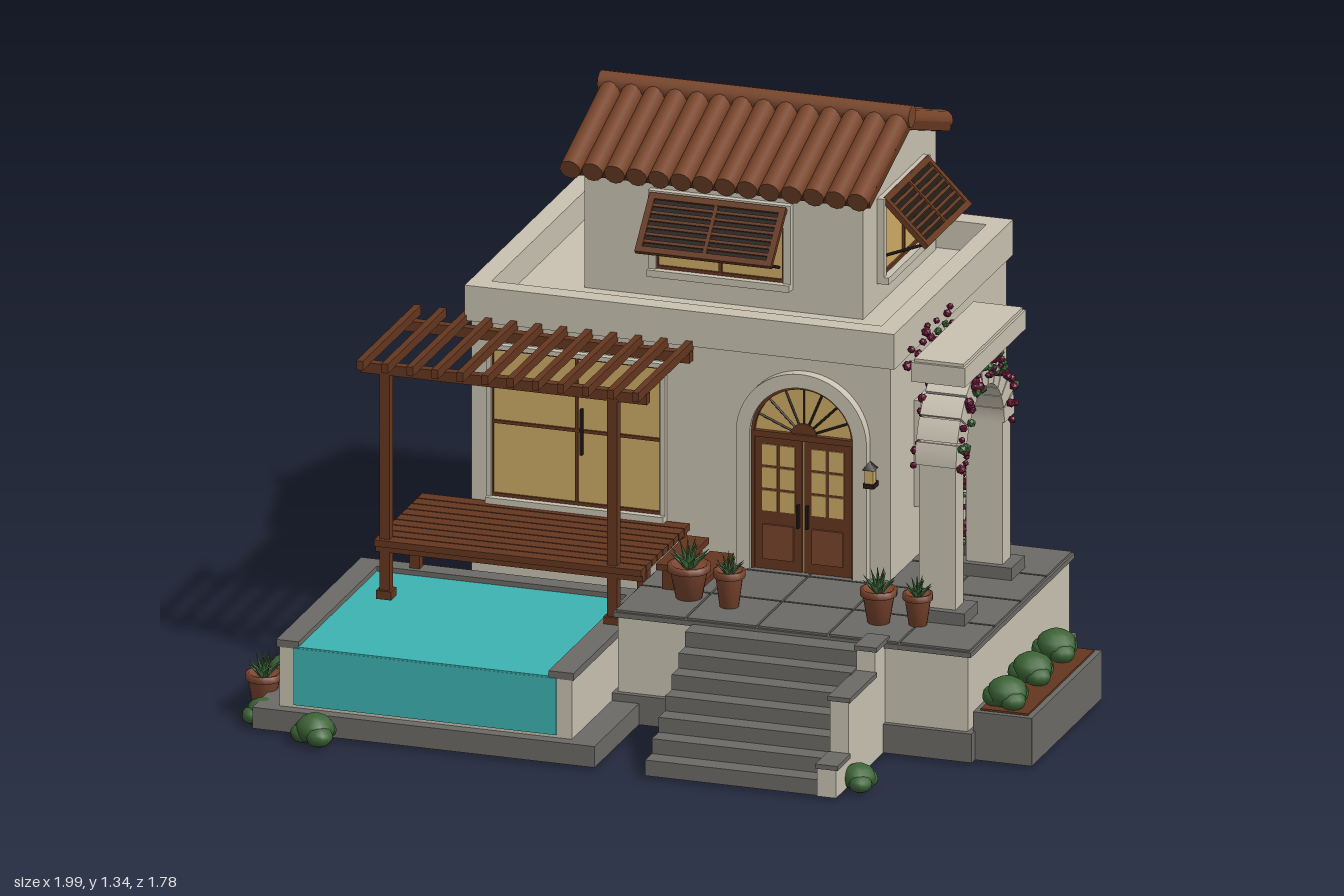
import * as THREE from 'three';

const mat = (name, color) => Object.assign(new THREE.MeshStandardMaterial({ color }), { name });
const M = {
  plaster: mat('plaster', 0xc9c2b2), stone: mat('stone', 0x6b6a66), water: mat('water', 0x3db3b2),
  wood: mat('wood', 0x653720), tile: mat('roofTile', 0x78452b), glass: mat('warmGlass', 0xcdab66),
  dark: mat('darkIron', 0x211a15), leaf: mat('leaf', 0x3c6436), flower: mat('flower', 0x6e1738),
  clay: mat('clay', 0x7d4630),
};
let seed = 7;
const rnd = () => (seed = (seed * 16807) % 2147483647) / 2147483647;

function add(parent, name, geo, m, x = 0, y = 0, z = 0) {
  const mesh = new THREE.Mesh(geo, m);
  mesh.name = name;
  mesh.position.set(x, y, z);
  parent.add(mesh);
  return mesh;
}
// Box given by its limits on each axis
function box(parent, name, m, x0, x1, y0, y1, z0, z1) {
  return add(parent, name, new THREE.BoxGeometry(x1 - x0, y1 - y0, z1 - z0), m, (x0 + x1) / 2, (y0 + y1) / 2, (z0 + z1) / 2);
}
function sub(parent, name, x = 0, y = 0, z = 0, ry = 0) {
  const g = new THREE.Group();
  g.name = name;
  g.position.set(x, y, z);
  g.rotation.y = ry;
  parent.add(g);
  return g;
}
function rod(parent, name, m, a, b, r) {
  const A = new THREE.Vector3(...a), B = new THREE.Vector3(...b);
  const mesh = add(parent, name, new THREE.CylinderGeometry(r, r, A.distanceTo(B), 8), m);
  mesh.position.copy(A).lerp(B, 0.5);
  mesh.quaternion.setFromUnitVectors(new THREE.Vector3(0, 1, 0), B.sub(A).normalize());
}
const extrude = (shape, depth) => new THREE.ExtrudeGeometry(shape, { depth, bevelEnabled: false, curveSegments: 24 });
const archShape = (r, h) => new THREE.Shape().moveTo(-r, 0).lineTo(r, 0).lineTo(r, h).absarc(0, h, r, 0, Math.PI, false).lineTo(-r, 0);
const archBand = (ro, ri, h) => new THREE.Shape().moveTo(-ro, 0).lineTo(-ro, h).absarc(0, h, ro, Math.PI, 0, true)
  .lineTo(ro, 0).lineTo(ri, 0).lineTo(ri, h).absarc(0, h, ri, 0, Math.PI, false).lineTo(-ri, 0);

// Rectangular window; origin at bottom centre, facing local +z
function rectWindow(parent, name, x, y, z, ry, w, h, cols, rows, trim = 0.02) {
  const g = sub(parent, name, x, y, z, ry), a = w / 2, t = 0.008;
  box(g, 'glass', M.glass, -a, a, 0, h, 0, 0.006);
  for (let i = 0; i <= cols; i++) { const c = -a + (w * i) / cols; box(g, 'bar', M.wood, c - t / 2, c + t / 2, 0, h, 0, 0.012); }
  for (let i = 0; i <= rows; i++) { const c = (h * i) / rows; box(g, 'bar', M.wood, -a, a, c - t / 2, c + t / 2, 0, 0.012); }
  for (const s of [-1, 1]) box(g, 'surround', M.plaster, s * (a + trim / 2) - trim / 2, s * (a + trim / 2) + trim / 2, -0.015, h + 0.01, 0, 0.018);
  box(g, 'lintel', M.plaster, -a - trim, a + trim, h, h + trim, 0, 0.018);
  box(g, 'sill', M.plaster, -a - trim, a + trim, -0.022, -0.004, 0, 0.03);
  return g;
}
// Louvred shutter propped open; origin at the top hinge
function shutter(parent, x, y, z, ry, w, L) {
  const g = sub(parent, 'shutter', x, y, z, ry), p = sub(g, 'panel'), a = w / 2;
  p.rotation.x = -Math.PI / 4;
  for (const s of [-1, 1]) {
    box(p, 'stile', M.wood, s * (a - 0.008) - 0.008, s * (a - 0.008) + 0.008, -L, 0, -0.007, 0.007);
    rod(g, 'strut', M.dark, [s * (a - 0.02), -L * 0.68, L * 0.68], [s * (a - 0.02), -L * 0.95, 0], 0.004);
  }
  box(p, 'topRail', M.wood, -a, a, -0.016, 0, -0.007, 0.007);
  box(p, 'bottomRail', M.wood, -a, a, -L, -L + 0.016, -0.007, 0.007);
  box(p, 'midStile', M.wood, -0.005, 0.005, -L, 0, -0.006, 0.006);
  box(p, 'backing', M.dark, -a + 0.01, a - 0.01, -L + 0.01, -0.01, -0.004, 0);
  for (let i = 1; i <= 6; i++) {
    const c = -0.012 - ((L - 0.024) * i) / 7;
    box(p, 'slat', M.wood, -a + 0.01, a - 0.01, c - 0.004, c + 0.004, -0.006, 0.005);
  }
}
function bush(parent, x, y, z, r) {
  const g = sub(parent, 'bush', x, y, z, x * 9);
  for (const [dx, dz, k] of [[0, 0, 1], [0.45, 0.3, 0.7], [-0.45, 0.25, 0.65], [0.05, -0.45, 0.7]])
    add(g, 'foliage', new THREE.SphereGeometry(r * k * 0.85, 10, 8), M.leaf, dx * r, r * 0.6 * k, dz * r).scale.y = 0.78;
}
function pottedPlant(parent, x, y, z, r, h) {
  const g = sub(parent, 'pottedPlant', x, y, z);
  const prof = [[0, 0], [0.62, 0], [0.9, 0.82], [1.05, 0.82], [1.05, 1], [0.85, 1], [0.8, 0.9], [0, 0.9]];
  add(g, 'pot', new THREE.LatheGeometry(prof.map(([a, b]) => new THREE.Vector2(a * r, b * h)), 16), M.clay);
  for (let i = 0; i < 12; i++) {
    const a = i * 2.4, out = r * (i < 7 ? 1.0 : 0.45), up = r * (i < 7 ? 0.9 : 1.45);
    const d = new THREE.Vector3(Math.cos(a) * out, up, Math.sin(a) * out), len = d.length();
    const leaf = add(g, 'leafBlade', new THREE.ConeGeometry(r * 0.2, len, 5), M.leaf, d.x / 2, h * 0.88 + d.y / 2, d.z / 2);
    leaf.quaternion.setFromUnitVectors(new THREE.Vector3(0, 1, 0), d.normalize());
  }
}

function house(root) {
  const g = sub(root, 'house');
  box(g, 'plinth', M.stone, -0.62, 0.495, 0.015, 0.11, -0.855, 0.04);
  box(g, 'lowerWalls', M.plaster, -0.605, 0.485, 0.11, 0.875, -0.842, 0.032);
  // Parapet ring around the roof deck
  const ring = new THREE.Shape().moveTo(-0.62, -0.04).lineTo(0.497, -0.04).lineTo(0.497, 0.857).lineTo(-0.62, 0.857);
  ring.holes.push(new THREE.Path().moveTo(-0.567, 0.01).lineTo(0.447, 0.01).lineTo(0.447, 0.8).lineTo(-0.567, 0.8));
  add(g, 'parapet', extrude(ring, 0.092), M.plaster, 0, 0.858, 0).rotation.x = -Math.PI / 2;
  // Upper storey with gable ends
  const gable = new THREE.Shape().moveTo(-0.275, 0.87).lineTo(0.275, 0.87).lineTo(0.275, 1.195).lineTo(0, 1.295).lineTo(-0.275, 1.195);
  add(g, 'upperWalls', extrude(gable, 0.725), M.plaster, -0.405, 0, -0.515).rotation.y = Math.PI / 2;
  // Tiled roof
  for (const s of [-1, 1]) {
    const slope = sub(g, 'roofSlope', -0.0525, 1.305, -0.515);
    slope.rotation.x = s * 0.335;
    box(slope, 'roofBoard', M.wood, -0.4, 0.4, -0.022, 0, Math.min(0, s * 0.328), Math.max(0, s * 0.328));
    for (let i = 0; i < 14; i++)
      add(slope, 'tileRow', new THREE.CylinderGeometry(0.027, 0.027, 0.34, 12), M.tile, -0.374 + i * 0.0575, 0.002, s * 0.17).rotation.x = Math.PI / 2;
  }
  add(g, 'ridgeTile', new THREE.CylinderGeometry(0.028, 0.028, 0.81, 12), M.tile, -0.0525, 1.316, -0.515).rotation.z = Math.PI / 2;
  // Windows and shutters
  const R = Math.PI / 2;
  rectWindow(g, 'upperFrontWindow', -0.048, 0.955, -0.24, 0, 0.33, 0.18, 2, 1);
  shutter(g, -0.048, 1.15, -0.215, 0, 0.355, 0.163);
  rectWindow(g, 'upperRightWindow', 0.32, 0.955, -0.52, R, 0.31, 0.18, 2, 1);
  shutter(g, 0.33, 1.153, -0.52, R, 0.33, 0.163);
  rectWindow(g, 'upperLeftWindow', -0.405, 0.955, -0.515, -R, 0.3, 0.175, 2, 2, 0.03);
  rectWindow(g, 'lowerRightWindow', 0.485, 0.46, -0.315, R, 0.3, 0.235, 2, 1);
  shutter(g, 0.507, 0.71, -0.312, R, 0.315, 0.175);
  const big = rectWindow(g, 'patioWindow', -0.328, 0.415, 0.032, 0, 0.44, 0.38, 2, 2, 0.012);
  box(big, 'handle', M.dark, 0.012, 0.018, 0.13, 0.25, 0.012, 0.022);
  const back = sub(g, 'archedBackWindow', -0.06, 0.415, -0.842, Math.PI);
  add(back, 'glass', extrude(archShape(0.15, 0.275), 0.006), M.glass);
  add(back, 'frame', extrude(archBand(0.153, 0.141, 0.275), 0.013), M.wood);
  add(back, 'surround', extrude(archBand(0.178, 0.15, 0.275), 0.024), M.plaster);
  box(back, 'sill', M.plaster, -0.19, 0.19, -0.02, 0.002, 0, 0.043);
  box(back, 'bar', M.wood, -0.006, 0.006, 0, 0.42, 0, 0.012);
  for (const y of [0.005, 0.14, 0.275]) box(back, 'bar', M.wood, -0.15, 0.15, y - 0.005, y + 0.005, 0, 0.012);
  frontDoor(g);
}

function frontDoor(parent) {
  const g = sub(parent, 'frontDoor', 0.262, 0.3, 0.032), h = 0.355;
  add(g, 'surround', extrude(archBand(0.17, 0.134, h), 0.028), M.plaster);
  add(g, 'fanlight', extrude(archShape(0.134, h), 0.005), M.glass);
  add(g, 'frame', extrude(archBand(0.136, 0.126, h), 0.016), M.wood);
  box(g, 'transom', M.wood, -0.134, 0.134, h - 0.008, h + 0.008, 0, 0.018);
  for (let i = 1; i < 8; i++) {
    const a = (i * Math.PI) / 8, c = Math.cos(a), s = Math.sin(a);
    rod(g, 'fanBar', M.dark, [c * 0.03, h + s * 0.03, 0.006], [c * 0.128, h + s * 0.128, 0.006], 0.003);
  }
  add(g, 'fanHub', extrude(archShape(0.035, 0), 0.01), M.wood, 0, h, 0);
  for (const s of [-1, 1]) {
    const d = sub(g, 'doorLeaf', s * 0.064, 0, 0.004);
    box(d, 'leaf', M.wood, -0.061, 0.061, 0, h - 0.008, 0, 0.008);
    box(d, 'panel', M.tile, -0.04, 0.04, 0.03, 0.12, 0.008, 0.014);
    for (let r = 0; r < 3; r++) for (const c of [-1, 1])
      box(d, 'pane', M.glass, c * 0.023 - 0.019, c * 0.023 + 0.019, 0.155 + r * 0.06, 0.208 + r * 0.06, 0.008, 0.011);
    box(d, 'handle', M.dark, -s * 0.052 - 0.003, -s * 0.052 + 0.003, 0.12, 0.18, 0.008, 0.02);
  }
  // Wall lantern beside the door
  box(g, 'lanternBody', M.glass, 0.167, 0.189, 0.262, 0.298, 0.012, 0.034);
  box(g, 'lanternBase', M.dark, 0.164, 0.192, 0.25, 0.262, 0, 0.037);
  add(g, 'lanternCap', new THREE.ConeGeometry(0.022, 0.022, 4), M.dark, 0.178, 0.309, 0.023).rotation.y = Math.PI / 4;
}

function terrace(root) {
  const g = sub(root, 'terrace');
  box(g, 'base', M.stone, -0.09, 0.845, 0.015, 0.09, -0.325, 0.465);
  box(g, 'wall', M.plaster, -0.08, 0.83, 0.09, 0.285, -0.315, 0.45);
  box(g, 'paving', M.stone, -0.09, 0.84, 0.285, 0.298, -0.325, 0.457);
  for (let i = 0; i < 5; i++) for (let j = 0; j < 4; j++) {
    const x = -0.085 + i * 0.185, z = -0.32 + j * 0.194;
    box(g, 'flagstone', M.stone, x, x + 0.179, 0.298, 0.303, z, z + 0.188);
  }
  // Stairs and their stepped side wall
  for (let i = 0; i < 7; i++) box(g, 'step', M.stone, 0.117, 0.566, 0.015, 0.29 - i * 0.039, 0.45, 0.515 + i * 0.05);
  for (const [z0, z1, y] of [[0.43, 0.525, 0.31], [0.525, 0.725, 0.245], [0.725, 0.82, 0.1]]) {
    box(g, 'stairWall', M.plaster, 0.566, 0.615, 0.015, y - 0.012, z0, z1);
    box(g, 'stairCoping', M.stone, 0.562, 0.62, y - 0.012, y, z0, z1 + 0.004);
  }
  // Planter
  box(g, 'planter', M.stone, 0.84, 0.993, 0.015, 0.14, -0.09, 0.44);
  box(g, 'soil', M.wood, 0.855, 0.978, 0.14, 0.145, -0.075, 0.425);
  for (const z of [0.37, 0.18, 0]) bush(g, 0.905, 0.14, z, 0.06);
  pottedPlant(g, 0.055, 0.3, 0.305, 0.052, 0.09);
  pottedPlant(g, 0.17, 0.3, 0.335, 0.038, 0.098);
  pottedPlant(g, 0.555, 0.3, 0.325, 0.044, 0.09);
  pottedPlant(g, 0.652, 0.3, 0.31, 0.036, 0.085);
}

function pool(root) {
  const g = sub(root, 'pool');
  box(g, 'base', M.stone, -0.91, -0.02, 0.015, 0.07, 0.13, 0.8);
  box(g, 'shell', M.plaster, -0.85, -0.09, 0.07, 0.224, 0.135, 0.768);
  box(g, 'waterTop', M.water, -0.8, -0.15, 0.224, 0.23, 0.18, 0.772);
  box(g, 'waterFront', M.water, -0.812, -0.13, 0.078, 0.226, 0.768, 0.773);
  for (const [a, b] of [[-0.858, -0.8], [-0.15, -0.085]]) box(g, 'coping', M.stone, a, b, 0.224, 0.243, 0.13, 0.77);
  box(g, 'backCoping', M.stone, -0.8, -0.15, 0.224, 0.243, 0.13, 0.18);
  pottedPlant(g, -0.93, 0.02, 0.655, 0.044, 0.09);
  for (const [x, z, r] of [[-0.935, 0.455, 0.062], [-0.905, 0.735, 0.048], [-0.735, 0.835, 0.058], [0.64, 0.72, 0.05]]) bush(root, x, 0.012, z, r);
}

function pergola(root) {
  const g = sub(root, 'pergola');
  for (let i = 0; i < 9; i++) box(g, 'deckBoard', M.wood, -0.73, -0.035, 0.378, 0.395, 0.04 + i * 0.041, 0.077 + i * 0.041);
  for (const z of [0.06, 0.37]) box(g, 'deckBeam', M.wood, -0.73, -0.035, 0.362, 0.378, z, z + 0.025);
  for (const x of [-0.707, -0.115]) {
    box(g, 'post', M.wood, x - 0.013, x + 0.013, 0.24, 0.83, 0.367, 0.393);
    box(g, 'postFoot', M.wood, x - 0.02, x + 0.02, 0.24, 0.262, 0.36, 0.4);
    box(g, 'rearDeckLeg', M.wood, x - 0.013, x + 0.013, 0.24, 0.37, 0.14, 0.166);
  }
  for (const z of [0.045, 0.368]) box(g, 'beam', M.wood, -0.77, -0.025, 0.823, 0.85, z, z + 0.024);
  for (let i = 0; i < 12; i++) box(g, 'rafter', M.wood, -0.762 + i * 0.0652, -0.745 + i * 0.0652, 0.848, 0.872, 0.005, 0.445);
  // Side steps down to the terrace
  for (const [x, y] of [[0.022, 0.372], [0.085, 0.338]]) {
    box(g, 'deckStep', M.wood, x - 0.06, x, y - 0.016, y, 0.06, 0.285);
    for (const z of [0.08, 0.25]) box(g, 'stepLeg', M.wood, x - 0.05, x - 0.01, 0.3, y - 0.016, z, z + 0.02);
  }
}

function gardenArch(root) {
  const g = sub(root, 'gardenArch', 0.64, 0.325, 0.06, Math.PI / 2);
  add(g, 'archBody', extrude(archBand(0.208, 0.146, 0.38), 0.095), M.plaster);
  // Arch stones, slightly proud of the body
  for (let i = 0; i < 11; i++) {
    const a = (i * Math.PI) / 11 + 0.012, b = ((i + 1) * Math.PI) / 11 - 0.012;
    const s = new THREE.Shape().absarc(0, 0, 0.22, a, b, false).absarc(0, 0, 0.144, b, a, true);
    add(g, 'archStone', extrude(s, 0.107), M.plaster, 0, 0.38, -0.006);
  }
  for (const s of [-1, 1]) box(g, 'footing', M.stone, s * 0.178 - 0.05, s * 0.178 + 0.05, -0.025, 0.01, -0.02, 0.125);
  box(g, 'capSlab', M.plaster, -0.232, 0.228, 0.602, 0.652, -0.012, 0.128);
  box(g, 'capTop', M.plaster, -0.225, 0.221, 0.652, 0.66, -0.006, 0.122);

  // Flowering vine over the arch and along the house wall
  const v = sub(root, 'floweringVine');
  const bloom = (x, y, z) => {
    const r = 0.008 + rnd() * 0.006, m = rnd() < 0.78 ? M.flower : M.leaf;
    add(v, m === M.leaf ? 'vineLeaf' : 'blossom', new THREE.IcosahedronGeometry(r, 0), m, x, y, z).rotation.set(rnd() * 6, rnd() * 6, 0);
  };
  for (let i = 0; i < 84; i++) {
    const a = rnd() * Math.PI, r = 0.165 + rnd() * 0.06, side = i % 2;
    bloom(side ? 0.752 : 0.63, 0.705 + Math.sin(a) * r, 0.06 + Math.cos(a) * r);
  }
  for (let i = 0; i < 22; i++) bloom(0.632, 0.36 + rnd() * 0.35, -0.085 - rnd() * 0.03);
  for (let i = 0; i < 24; i++) { const t = rnd(); bloom(0.507, 0.9 - rnd() * 0.1, -0.02 - t * 0.35); }
  const path = Array.from({ length: 9 }, (_, i) => new THREE.Vector3(0.632, 0.705 + Math.sin((i * Math.PI) / 8) * 0.19, 0.06 + Math.cos((i * Math.PI) / 8) * 0.19));
  path.push(new THREE.Vector3(0.632, 0.34, -0.11));
  add(v, 'vineStem', new THREE.TubeGeometry(new THREE.CatmullRomCurve3(path), 40, 0.004, 5), M.leaf);
}

export function createModel() {
  const model = new THREE.Group();
  model.name = 'villa';
  const root = sub(model, 'villaParts', 0, -0.013, 0);
  house(root);
  terrace(root);
  pool(root);
  pergola(root);
  gardenArch(root);
  return model;
}
